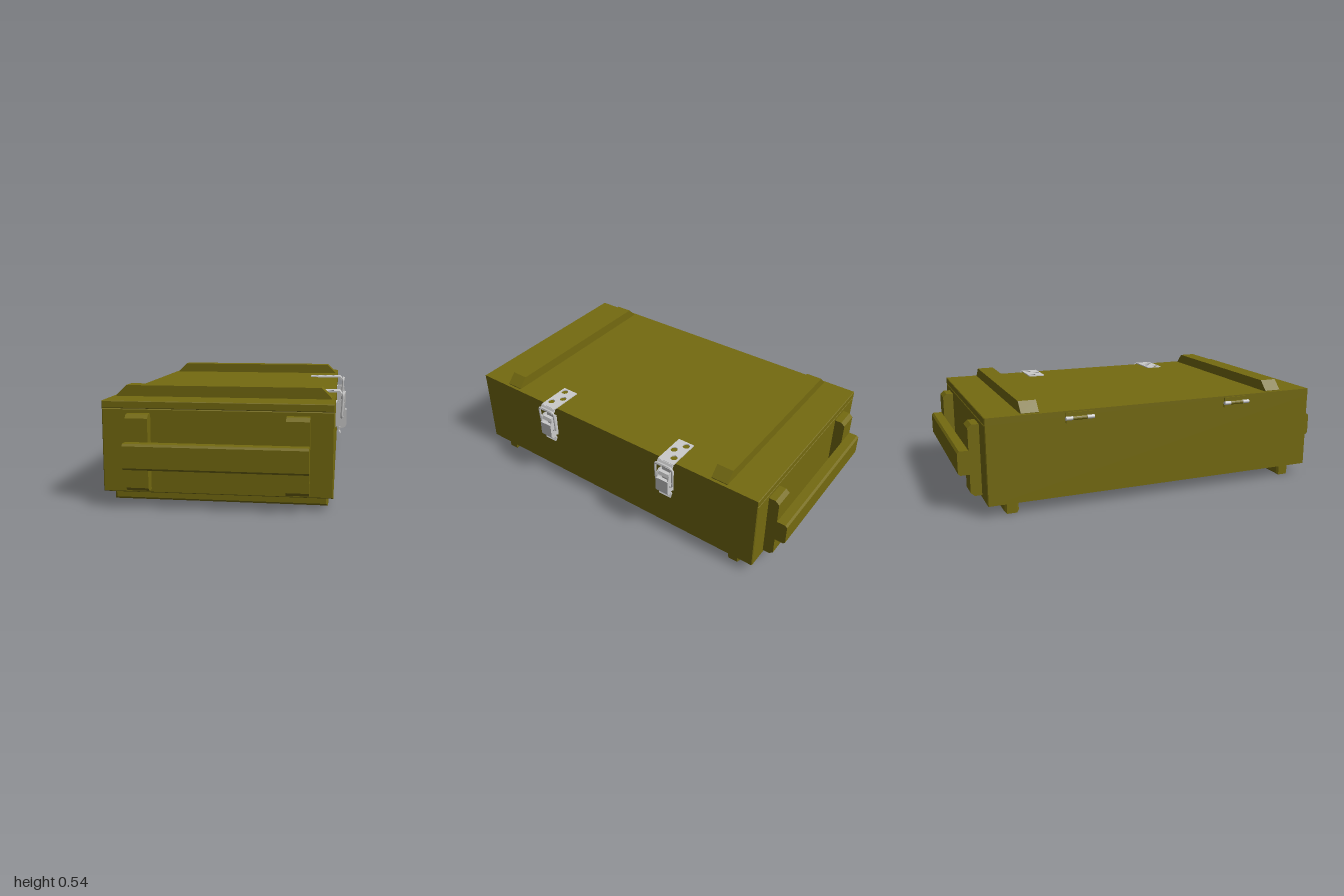
import * as THREE from 'three';

const olive = new THREE.MeshStandardMaterial({ color: 0x746a10, flatShading: true });
const steel = new THREE.MeshStandardMaterial({ color: 0xcccccc });

function polygon(points) {
  return new THREE.Shape(points.map(([a, b]) => new THREE.Vector2(a, b)));
}

function add(parent, name, geometry, material = olive) {
  const mesh = new THREE.Mesh(geometry, material);
  mesh.name = name;
  parent.add(mesh);
  return mesh;
}

// Box between two corners with a chamfer c on every edge
function block([x0, y0, z0], [x1, y1, z1], c) {
  const shape = polygon([[x0 + c, y0 + c], [x1 - c, y0 + c], [x1 - c, y1 - c], [x0 + c, y1 - c]]);
  const g = new THREE.ExtrudeGeometry(shape, {
    depth: z1 - z0 - 2 * c, bevelThickness: c, bevelSize: c, bevelSegments: 1,
  });
  return g.translate(0, 0, z0 + c);
}

// Profile in x,y carried along z
function extrudeZ(points, z0, z1) {
  return new THREE.ExtrudeGeometry(polygon(points), { depth: z1 - z0, bevelEnabled: false }).translate(0, 0, z0);
}

// Profile in z,y carried along x
function extrudeX(points, x0, x1) {
  return new THREE.ExtrudeGeometry(polygon(points), { depth: x1 - x0, bevelEnabled: false })
    .rotateY(-Math.PI / 2).translate(x1, 0, 0);
}

// Carrying handle: two uprights and a rail, on the end facing side
function makeHandle(side) {
  const group = new THREE.Group();
  group.name = 'handle';
  const upright = [[0.885, 0.075], [0.925, 0.075], [0.945, 0.092], [0.945, 0.413], [0.925, 0.43], [0.885, 0.43]];
  const rail = [[0.945, 0.185], [0.99, 0.185], [1, 0.195], [1, 0.295], [0.99, 0.305], [0.945, 0.305]];
  const flip = (points) => points.map(([z, y]) => [z * side, y]);
  for (const [x0, x1] of [[-0.425, -0.32], [0.305, 0.41]]) {
    add(group, 'handleUpright', extrudeX(flip(upright), x0, x1));
  }
  add(group, 'handleRail', extrudeX(flip(rail), -0.425, 0.41));
  return group;
}

// Toggle latch, built around z = 0
function makeLatch(side) {
  const group = new THREE.Group();
  group.name = 'latch';

  // Strike plate on the lid with three screw holes
  const plate = polygon([[0.355, -0.045], [0.535, -0.045], [0.535, 0.045], [0.355, 0.045]]);
  for (const [x, z] of [[0.383, 0.018], [0.437, -0.018], [0.49, 0.018]]) {
    const hole = new THREE.Path();
    hole.absarc(x, z * side, 0.018, 0, Math.PI * 2, true);
    plate.holes.push(hole);
  }
  add(group, 'strikePlate', new THREE.ExtrudeGeometry(plate, { depth: 0.006, bevelEnabled: false })
    .rotateX(Math.PI / 2).translate(0, 0.491, 0), steel);

  // Curled lip that catches the wire loop
  add(group, 'strikeHook', extrudeZ([[0.53, 0.491], [0.538, 0.489], [0.546, 0.476], [0.562, 0.48],
    [0.562, 0.474], [0.544, 0.466], [0.535, 0.474], [0.53, 0.485]], -0.045, 0.045), steel);

  // Wire loop
  const loop = [[0.03, 0.479], [0.045, 0.475], [0.051, 0.462], [0.05, 0.38], [0.047, 0.362], [0.034, 0.356]];
  const ring = [...loop, ...loop.slice().reverse().map(([z, y]) => [-z, y])];
  const path = new THREE.CatmullRomCurve3(
    ring.map(([z, y]) => new THREE.Vector3(0.545 + (y - 0.35) * 0.06, y, z)), true, 'catmullrom', 0.3);
  add(group, 'wireLoop', new THREE.TubeGeometry(path, 72, 0.006, 8, true), steel);

  // Base plate and cheeks against the wall
  add(group, 'latchBase', block([0.512, 0.305, -0.036], [0.522, 0.435, 0.036], 0.002), steel);
  const cheek = [[0.515, 0.31], [0.56, 0.315], [0.566, 0.33], [0.566, 0.39], [0.558, 0.425], [0.545, 0.438], [0.515, 0.43]];
  for (const z of [-0.036, 0.03]) add(group, 'latchCheek', extrudeZ(cheek, z, z + 0.006), steel);

  // Lever skin with its curled finger tab
  const lever = [[0.552, 0.395], [0.57, 0.395], [0.57, 0.32], [0.563, 0.308], [0.54, 0.3], [0.534, 0.29],
    [0.543, 0.273], [0.538, 0.275], [0.527, 0.29], [0.532, 0.305], [0.552, 0.316]];
  add(group, 'lever', extrudeZ(lever, -0.036, 0.036), steel);
  add(group, 'leverTop', extrudeZ([[0.535, 0.41], [0.558, 0.41], [0.552, 0.428], [0.535, 0.43]], -0.036, 0.036), steel);
  add(group, 'pivotPin', new THREE.CylinderGeometry(0.008, 0.008, 0.088, 12)
    .rotateX(Math.PI / 2).translate(0.548, 0.358, 0), steel);
  return group;
}

// Hinge on the -x wall: steel barrel ends around a painted middle knuckle
function makeHinge() {
  const group = new THREE.Group();
  group.name = 'hinge';
  add(group, 'hingeLeaf', block([-0.556, 0.425, -0.07], [-0.545, 0.478, 0.07], 0.002));
  for (const [z, length, material] of [[-0.054, 0.036, steel], [0, 0.07, olive], [0.054, 0.036, steel]]) {
    add(group, 'hingeKnuckle', new THREE.CylinderGeometry(0.01, 0.01, length, 12)
      .rotateX(Math.PI / 2).translate(-0.562, 0.45, z), material);
  }
  return group;
}

export function createModel() {
  const model = new THREE.Group();
  model.name = 'crate';

  // Chest and lid
  add(model, 'body', block([-0.55, 0.058, -0.89], [0.516, 0.45, 0.89], 0.004));
  add(model, 'lid', block([-0.55, 0.45, -0.89], [0.516, 0.485, 0.89], 0.003));

  const batten = [[-0.535, 0.483], [0.5, 0.483], [0.5, 0.489], [0.452, 0.538], [-0.486, 0.538], [-0.535, 0.489]];
  for (const side of [-1, 1]) {
    // Lid battens and floor runners
    const z = 0.67 * side, f = 0.77 * side;
    add(model, 'lidBatten', extrudeZ(batten, z - 0.044, z + 0.044));
    add(model, 'runner', block([-0.525, 0, f - 0.035], [0.492, 0.06, f + 0.035], 0.01));

    model.add(makeHandle(side));

    const latch = makeLatch(side);
    latch.position.z = 0.385 * side;
    model.add(latch);

    const hinge = makeHinge();
    hinge.position.z = 0.432 * side;
    model.add(hinge);
  }
  return model;
}
